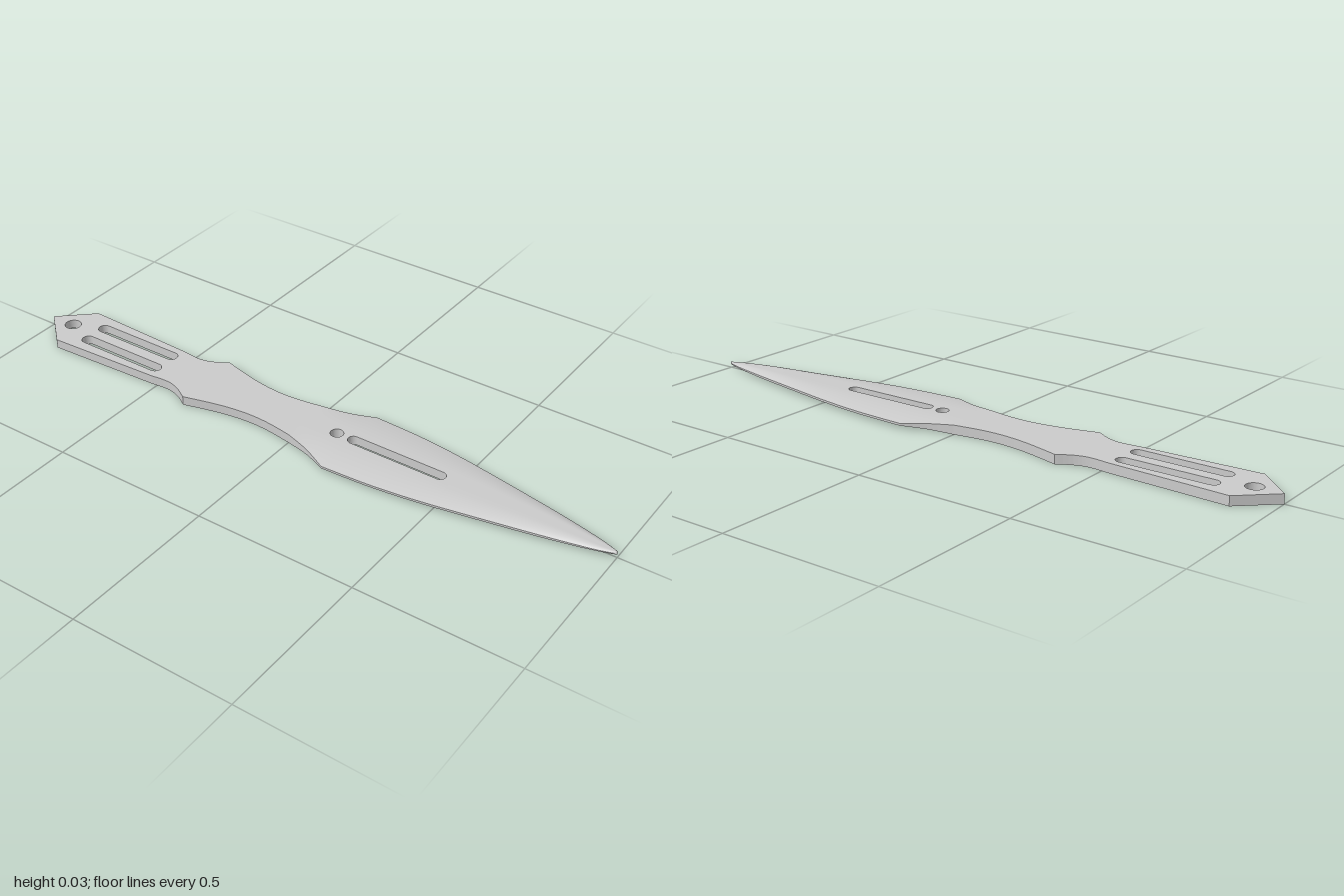
import * as THREE from 'three';

const MID = 0.0145;   // half thickness, also the height of the middle plane
const CORE = 0.03;    // half width of the flat strip along the blade
const CORE_END = 0.5; // where the strip ends and the solid point begins

const material = new THREE.MeshStandardMaterial({ color: 0xcccccc });
const spline = (pts, n) =>
  new THREE.SplineCurve(pts.map(p => new THREE.Vector2(...p))).getPoints(n);

// Half outlines as (half width, z)
const guard = spline([[0.082, -0.52], [0.077, -0.46], [0.088, -0.415], [0.114, -0.37]], 12);
const waist = spline([[0.114, -0.37], [0.086, -0.26], [0.073, -0.17], [0.074, -0.09], [0.087, 0]], 20);
const flare = spline([[0.087, 0], [0.11, 0.08], [0.145, 0.155]], 10);
const belly = spline([[0.145, 0.155], [0.139, 0.29], [0.128, 0.4], [0.113, CORE_END]], 14);
const point = spline([[0.113, CORE_END], [0.087, 0.64], [0.056, 0.8], [0.028, 0.925], [0.011, 0.982], [0.002, 1]], 30);

// Rounded slot or, with z0 = z1, a round hole
function slot(x, z0, z1, r) {
  const path = new THREE.Path();
  path.absarc(x, z1, r, 0, Math.PI, false);
  path.absarc(x, z0, r, Math.PI, Math.PI * 2, false);
  path.closePath();
  return path;
}

// Flat plate: handle plus the pierced strip of the blade
function plateGeometry() {
  const half = [
    new THREE.Vector2(0.098, -0.895), ...guard, ...waist.slice(1),
    new THREE.Vector2(CORE, 0), new THREE.Vector2(CORE, CORE_END),
  ];
  const mirrored = half.map(p => new THREE.Vector2(-p.x, p.y)).reverse();
  const shape = new THREE.Shape([new THREE.Vector2(0, -1), ...half, ...mirrored]);
  shape.holes.push(
    slot(0, -0.915, -0.915, 0.026),
    slot(-0.039, -0.815, -0.54, 0.02),
    slot(0.039, -0.815, -0.54, 0.02),
    slot(0, 0.11, 0.11, 0.02),
    slot(0, 0.168, 0.457, 0.018),
  );
  const geo = new THREE.ExtrudeGeometry(shape, { depth: MID * 2, bevelEnabled: false, curveSegments: 12 });
  return geo.rotateX(Math.PI / 2).translate(0, MID * 2, 0);
}

// Half thickness of the blade: convex towards the edge, thinner at the tip
function thickness(x, w, z) {
  const flat = CORE * Math.min(1, w / 0.1);
  const u = Math.max(0, (x - flat) / (w - flat));
  const bevel = 0.76 * THREE.MathUtils.clamp(z / 0.155, 0, 1);
  const tip = Math.max(0, (z - 0.75) / 0.25);
  return MID * (1 - bevel * u * u) * (1 - 0.7 * tip * tip);
}

// Grid surface over outline rows; at(row, t) gives a corner position
function surface(rows, cols, at, flip) {
  const pos = [], index = [], n = cols + 1;
  rows.forEach((row, i) => {
    for (let j = 0; j <= cols; j++) {
      pos.push(...at(row, j / cols));
      if (i === 0 || j === 0) continue;
      const d = i * n + j, c = d - 1, b = d - n, a = b - 1;
      index.push(...(flip ? [a, b, c, b, d, c] : [a, c, b, b, c, d]));
    }
  });
  const geo = new THREE.BufferGeometry();
  geo.setAttribute('position', new THREE.Float32BufferAttribute(pos, 3));
  geo.setIndex(index);
  geo.computeVertexNormals();
  return geo;
}

// Ground faces and thin cutting edge of one blade half
function bladeHalf(name, rows, inner, side) {
  const group = new THREE.Group();
  group.name = name;
  const add = (part, geo) => {
    const mesh = new THREE.Mesh(geo, material);
    mesh.name = part;
    group.add(mesh);
  };
  for (const up of [1, -1]) {
    const face = (r, t) => {
      const x = THREE.MathUtils.lerp(inner, r.x, t);
      return [side * x, MID + up * thickness(x, r.x, r.y), r.y];
    };
    add(up > 0 ? 'upperBevel' : 'lowerBevel', surface(rows, 10, face, side * up < 0));
  }
  const edge = (r, t) => [side * r.x, MID + (1 - 2 * t) * thickness(r.x, r.x, r.y), r.y];
  add('cuttingEdge', surface(rows, 1, edge, side < 0));
  return group;
}

export function createModel() {
  const model = new THREE.Group();
  model.name = 'throwingKnife';

  const plate = new THREE.Mesh(plateGeometry(), material);
  plate.name = 'handleAndCore';
  model.add(plate);

  for (const side of [1, -1]) {
    const label = side > 0 ? 'left' : 'right';
    model.add(bladeHalf(label + 'Flare', flare, CORE, side));
    model.add(bladeHalf(label + 'Blade', belly, CORE, side));
    model.add(bladeHalf(label + 'Point', point, 0, side));
  }
  return model;
}
